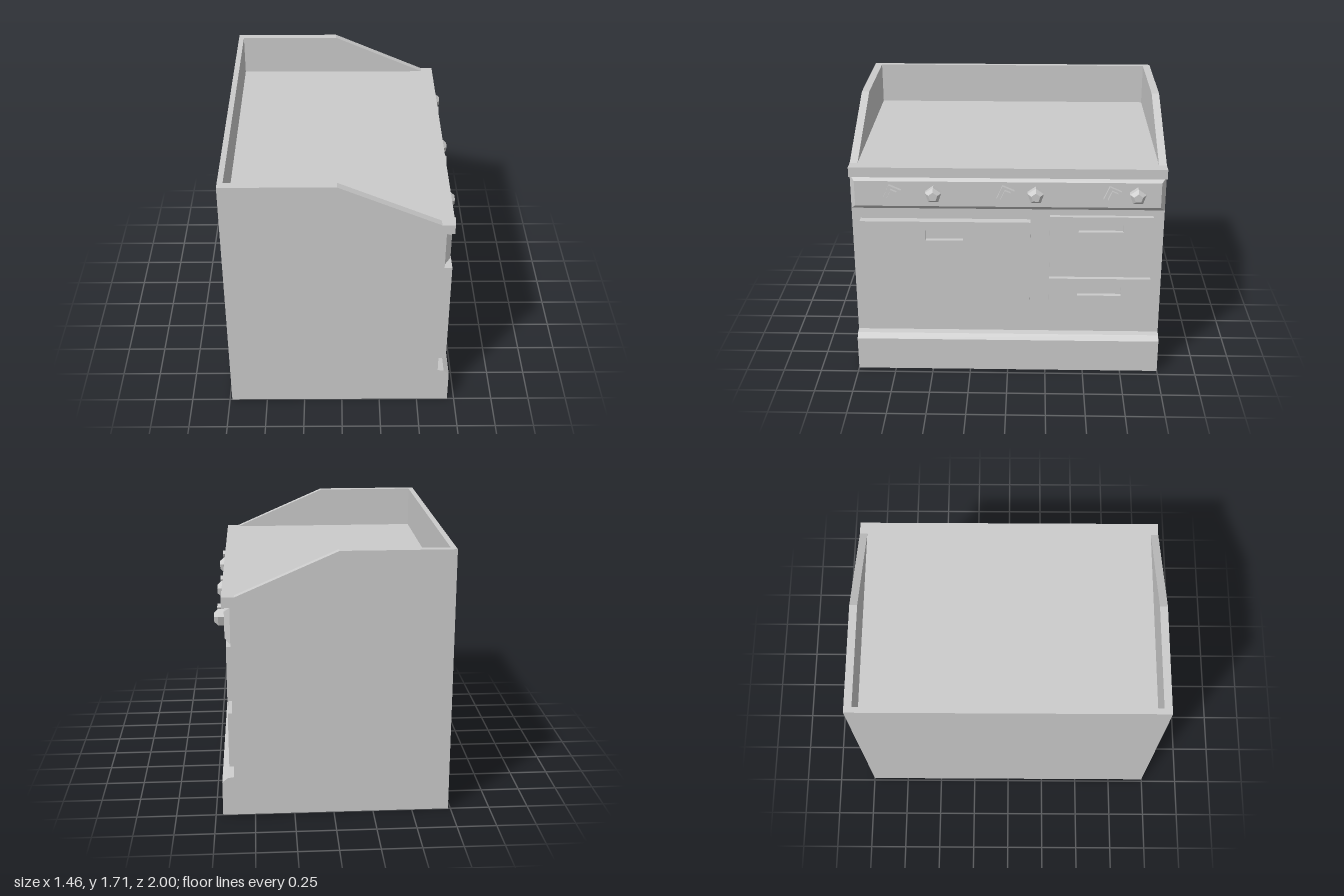
import * as THREE from 'three';

const mat = new THREE.MeshStandardMaterial({ color: 0xcccccc, side: THREE.DoubleSide, flatShading: true });

function add(parent, name, geometry) {
  const mesh = new THREE.Mesh(geometry, mat);
  mesh.name = name;
  parent.add(mesh);
  return mesh;
}

// Box given by its limits
function box(x0, x1, y0, y1, z0, z1) {
  return new THREE.BoxGeometry(x1 - x0, y1 - y0, z1 - z0)
    .translate((x0 + x1) / 2, (y0 + y1) / 2, (z0 + z1) / 2);
}

function shapeOf(points) {
  return new THREE.Shape(points.map(([x, y]) => new THREE.Vector2(x, y)));
}

// Sweep an open side profile across the width
function sweep(profile, halfWidth) {
  const pos = [];
  for (let i = 0; i < profile.length - 1; i++) {
    const [a, b] = [profile[i], profile[i + 1]];
    const h = halfWidth;
    pos.push(...a, h, ...a, -h, ...b, -h, ...a, h, ...b, -h, ...b, h);
  }
  const g = new THREE.BufferGeometry();
  g.setAttribute('position', new THREE.Float32BufferAttribute(pos, 3));
  g.computeVertexNormals();
  return g;
}

// Deep box with a front slab that has a recessed grip
function compartment(parent, name, front, [y0, y1, z0, z1], [gy0, gy1, gz0, gz1]) {
  const group = new THREE.Group();
  group.name = name;
  const depth = 0.03;
  add(group, name + 'Body', box(-0.285, front - depth, y0, y1, z0, z1));
  const face = shapeOf([[-z1, y0], [-z0, y0], [-z0, y1], [-z1, y1]]);
  face.holes.push(shapeOf([[-gz1, gy0], [-gz1, gy1], [-gz0, gy1], [-gz0, gy0]]));
  const slab = new THREE.ExtrudeGeometry(face, { depth, bevelEnabled: false });
  add(group, name + 'Front', slab.rotateY(Math.PI / 2).translate(front - depth, 0, 0));
  parent.add(group);
}

export function createModel() {
  const stove = new THREE.Group();
  stove.name = 'stove';

  // Hollow shell, open at the bottom: plinth, front, lip, cooktop and back wall
  const deck = 1.435;
  const frontProfile = [
    [0.705, 0], [0.705, 0.225], [0.67, 0.253], [0.63, 0.26],
    [0.63, 1.37], [0.68, 1.37], [0.68, deck],
  ];
  add(stove, 'shell', sweep([
    ...frontProfile, [-0.7, deck], [-0.7, 1.71], [-0.735, 1.71], [-0.735, 0],
  ], 1));

  // Side panels and the sloping splash guards above them
  const panelShape = shapeOf([...frontProfile, [-0.735, deck], [-0.735, 0]]);
  const guardShape = shapeOf([[-0.735, deck], [0.6, deck], [-0.03, 1.71], [-0.735, 1.71]]);
  for (const side of [1, -1]) {
    const panel = new THREE.ShapeGeometry(panelShape);
    if (side < 0) panel.rotateY(Math.PI).scale(-1, 1, 1);
    // Mirrored panel: reverse the corners so it faces outward
    if (side < 0) panel.index.array.reverse();
    add(stove, side > 0 ? 'leftPanel' : 'rightPanel', panel.translate(0, 0, side));
    const guard = new THREE.ExtrudeGeometry(guardShape, { depth: 0.05, bevelEnabled: false });
    add(stove, 'splashGuard', guard.translate(0, 0, side > 0 ? 0.95 : -1));
  }

  // Bevelled control panel
  const control = box(0.63, 0.665, 1.14, 1.37, -1, 1);
  const p = control.attributes.position;
  for (let i = 0; i < p.count; i++) {
    if (p.getX(i) < 0.65) continue;
    p.setY(i, p.getY(i) > 1.25 ? 1.338 : 1.17);
    p.setZ(i, Math.sign(p.getZ(i)) * 0.97);
  }
  control.computeVertexNormals();
  add(stove, 'controlPanel', control);

  // Oven door and two drawers
  compartment(stove, 'ovenDoor', 0.685, [0.315, 1.07, -0.145, 0.945], [0.94, 1.01, 0.285, 0.525]);
  compartment(stove, 'upperDrawer', 0.66, [0.745, 1.1, -0.93, -0.27], [0.995, 1.048, -0.74, -0.455]);
  compartment(stove, 'lowerDrawer', 0.66, [0.3, 0.662, -0.93, -0.27], [0.54, 0.602, -0.74, -0.455]);

  // Five-sided knobs
  for (const z of [0.468, -0.178, -0.82]) {
    const knob = new THREE.Group();
    knob.name = 'roundKnob';
    add(knob, 'knobBase', new THREE.CylinderGeometry(0.054, 0.054, 0.04, 5).translate(0, 0.02, 0));
    add(knob, 'knobCap', new THREE.CylinderGeometry(0.03, 0.054, 0.025, 5).translate(0, 0.0525, 0));
    for (const part of knob.children) part.geometry.rotateZ(-Math.PI / 2).rotateX(-Math.PI / 2);
    knob.position.set(0.664, 1.258, z);
    stove.add(knob);
  }

  // Tilted square switches with a raised grip
  for (const z of [0.73, 0.012, -0.662]) {
    const knob = new THREE.Group();
    knob.name = 'squareKnob';
    add(knob, 'switchBase', box(0, 0.027, -0.046, 0.046, -0.042, 0.042));
    add(knob, 'switchGrip', box(0.027, 0.05, -0.033, 0.033, -0.02, 0.02));
    knob.position.set(0.664, 1.26, z);
    knob.rotation.x = -0.42;
    stove.add(knob);
  }
  return stove;
}
